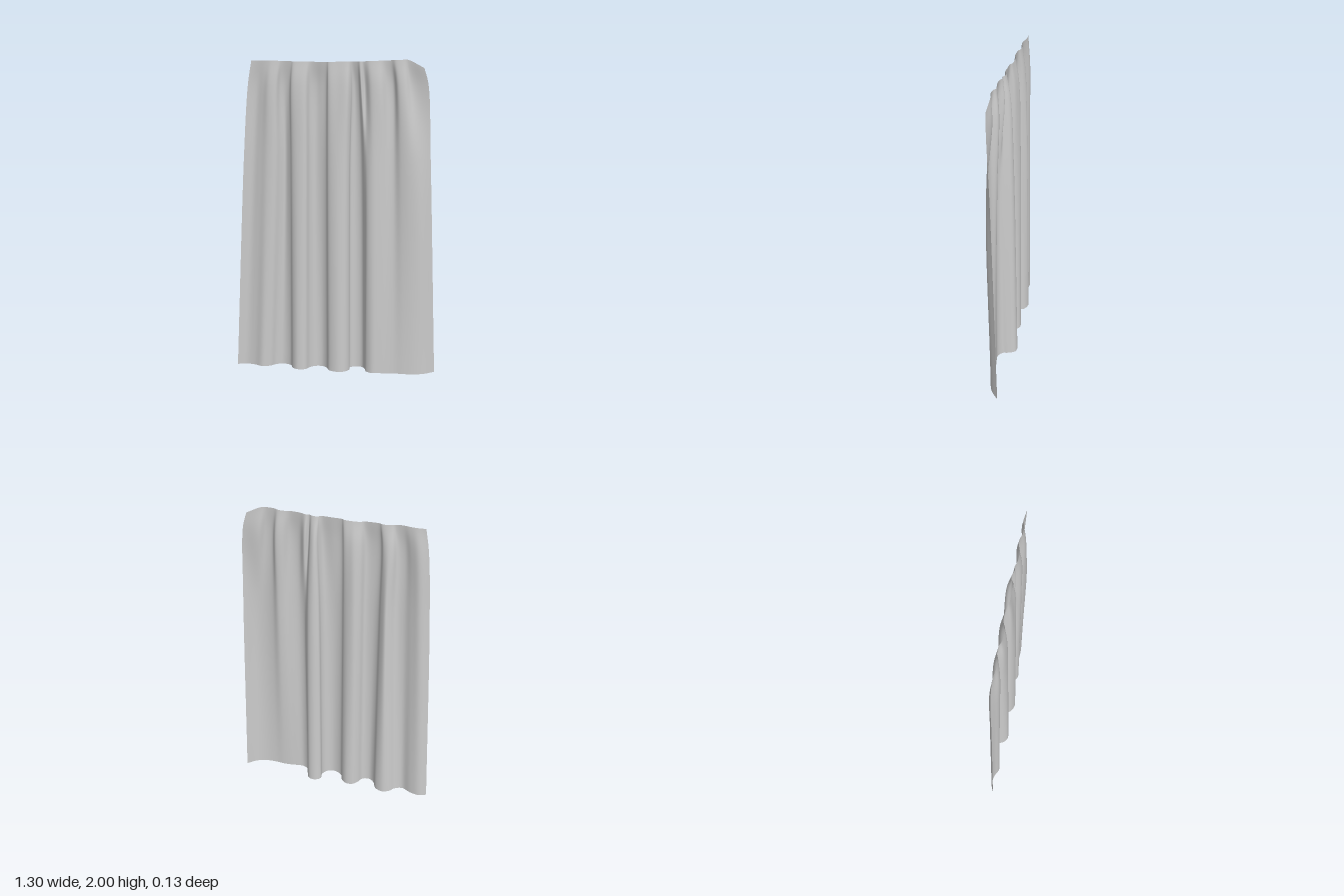
import * as THREE from 'three';

// Cross-sections of the cloth from its right edge to its left: [x, z] per fold point
const hem = [
  [-0.655, 0.02], [-0.6, 0], [-0.54, 0.01], [-0.48, 0.035], [-0.43, 0.015], [-0.4, -0.02], [-0.355, -0.04], [-0.3, -0.02],
  [-0.275, 0.03], [-0.24, 0.055], [-0.19, 0.045], [-0.165, 0], [-0.135, -0.03], [-0.09, -0.035], [-0.055, -0.01], [-0.03, 0.04],
  [0.03, 0.062], [0.075, 0.045], [0.098, 0.005], [0.095, -0.04], [0.13, -0.066], [0.175, -0.06], [0.2, -0.015], [0.21, 0.02],
  [0.25, 0.045], [0.3, 0.04], [0.35, 0.032], [0.4, 0.028], [0.46, 0.03], [0.53, 0.023], [0.59, 0], [0.65, -0.05],
];
const middle = [
  [-0.588, 0.02], [-0.53, 0], [-0.48, 0.015], [-0.43, 0.035], [-0.38, 0.03], [-0.35, -0.005], [-0.325, -0.025], [-0.29, 0],
  [-0.268, 0.03], [-0.23, 0.045], [-0.18, 0.04], [-0.16, 0], [-0.13, -0.025], [-0.09, -0.02], [-0.055, 0], [-0.035, 0.035],
  [0.02, 0.05], [0.075, 0.04], [0.095, 0.01], [0.1, -0.025], [0.13, -0.04], [0.165, -0.03], [0.19, 0.01], [0.21, 0.03],
  [0.25, 0.045], [0.31, 0.03], [0.345, 0.01], [0.38, 0.005], [0.42, 0.03], [0.475, 0.04], [0.53, 0.03], [0.605, -0.01],
];
const gathered = [
  [-0.556, 0.015], [-0.5, 0], [-0.455, 0.015], [-0.415, 0.035], [-0.37, 0.03], [-0.348, 0], [-0.32, -0.01], [-0.29, 0],
  [-0.27, 0.03], [-0.23, 0.04], [-0.18, 0.035], [-0.155, 0], [-0.12, -0.015], [-0.09, -0.012], [-0.053, 0], [-0.035, 0.03],
  [0.025, 0.035], [0.085, 0.035], [0.103, 0.01], [0.11, -0.01], [0.125, -0.02], [0.15, -0.01], [0.17, 0.02], [0.19, 0],
  [0.23, 0.035], [0.29, 0.035], [0.33, 0], [0.37, -0.005], [0.4, 0.03], [0.445, 0.03], [0.48, 0], [0.585, 0.01],
];
// The top edge is the gathered section pulled almost straight, rounded at the left corner
const topEdge = gathered.map(([x, z]) => [x * 0.955, 0.017 + (z - 0.017) * 0.3]);
const topY = (x) => 1.99 + 0.01 * Math.min(1, (x / 0.4) ** 2) - 0.05 * THREE.MathUtils.smoothstep(x, 0.47, 0.56);

const COLS = 31 * 5, ROWS = 44;

function sampleSection(points, height) {
  const curve = new THREE.CatmullRomCurve3(points.map(([x, z]) => new THREE.Vector3(x, height(x), z)));
  return curve.getPoints(COLS);
}

function clothGeometry() {
  const sections = [
    sampleSection(hem, () => 0),
    sampleSection(middle, () => 1.4),
    sampleSection(gathered, () => 1.85),
    sampleSection(topEdge, topY),
  ];
  const position = [], index = [];
  // Each thread runs from hem to top edge through the four sections
  for (let c = 0; c <= COLS; c++) {
    const thread = new THREE.CatmullRomCurve3(sections.map((s) => s[c]));
    for (const p of thread.getPoints(ROWS)) position.push(p.x, Math.max(0, p.y), p.z);
  }
  for (let c = 0; c < COLS; c++) {
    for (let r = 0; r < ROWS; r++) {
      const a = c * (ROWS + 1) + r, b = a + ROWS + 1;
      index.push(a, b, b + 1, a, b + 1, a + 1);
    }
  }
  const geometry = new THREE.BufferGeometry();
  geometry.setAttribute('position', new THREE.Float32BufferAttribute(position, 3));
  geometry.setIndex(index);
  geometry.computeVertexNormals();
  return geometry;
}

export function createModel() {
  const model = new THREE.Group();
  model.name = 'curtain';
  const cloth = new THREE.Mesh(
    clothGeometry(),
    new THREE.MeshStandardMaterial({ color: 0xcccccc, side: THREE.DoubleSide }),
  );
  cloth.name = 'drapedCloth';
  model.add(cloth);
  return model;
}
